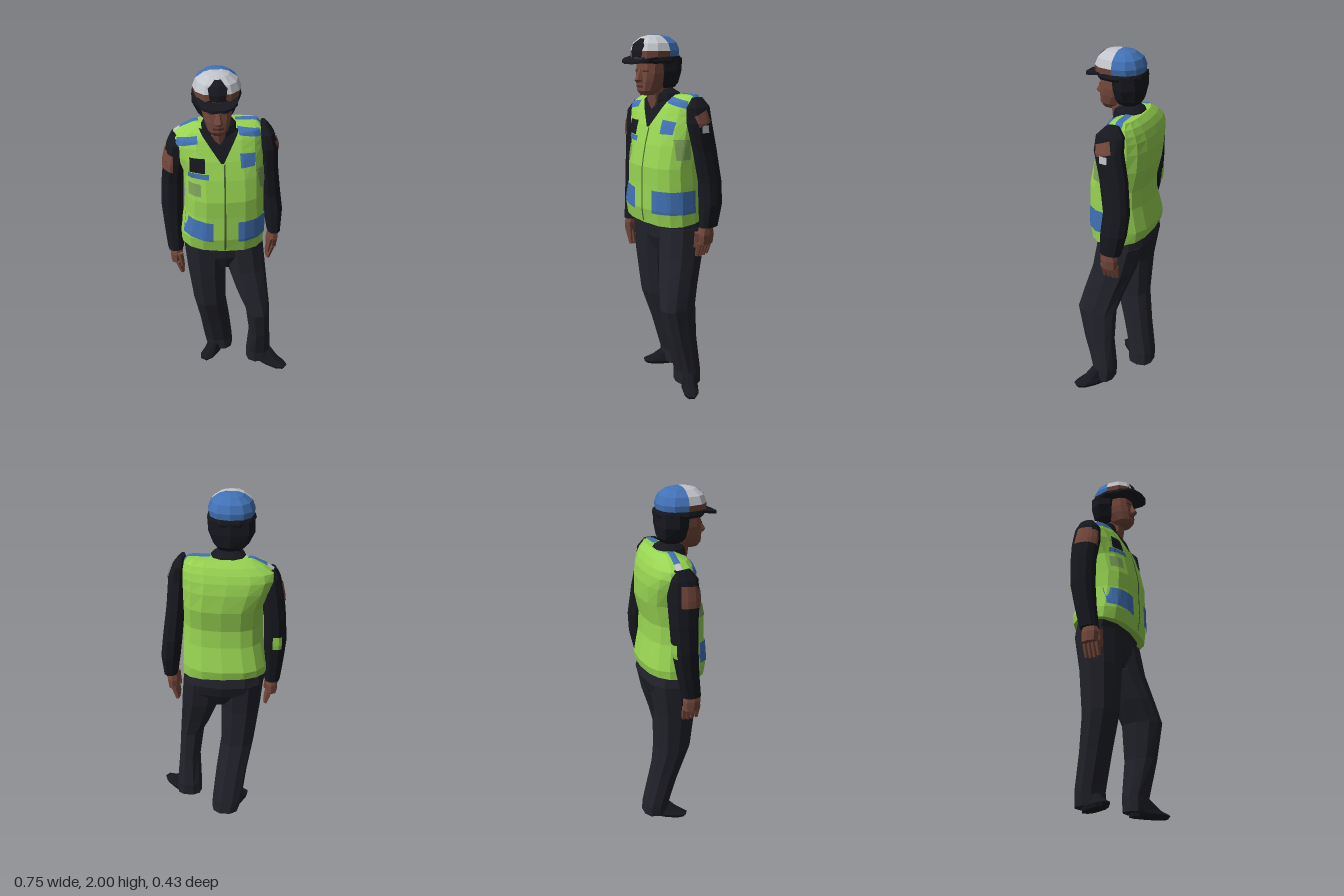
import * as THREE from 'three';

const material = (name, color) => Object.assign(new THREE.MeshStandardMaterial({ color }), { name });
const M = {
  lime: material('lime vest', 0x98d452),
  blue: material('blue', 0x4272b6),
  jacket: material('black jacket', 0x17181f),
  trousers: material('charcoal trousers', 0x22232b),
  skin: material('brown skin', 0x74483c),
  lips: material('dark brown', 0x4a2b25),
  white: material('pale grey', 0xc2c5cb),
  olive: material('dull green', 0x7da259),
  seam: material('dark green', 0x47632f),
};

function geometryFrom(points) {
  const g = new THREE.BufferGeometry().setFromPoints(points);
  g.computeVertexNormals();
  return g;
}

// Closed faceted body from horizontal slices [y, xMin, xMax, zMin, zMax]
function loft(slices, sides = 12, power = 2.4) {
  const rings = [...slices].sort((a, b) => a[0] - b[0]).map(([y, x0, x1, z0, z1]) => {
    const bend = (v) => Math.sign(v) * Math.abs(v) ** (2 / power);
    return Array.from({ length: sides }, (_, i) => {
      const a = (i / sides) * Math.PI * 2;
      return new THREE.Vector3(
        (x0 + x1) / 2 + bend(Math.cos(a)) * (x1 - x0) / 2, y,
        (z0 + z1) / 2 + bend(Math.sin(a)) * (z1 - z0) / 2);
    });
  });
  const middle = (ring) => ring.reduce((s, p) => s.add(p), new THREE.Vector3()).divideScalar(sides);
  const last = rings[rings.length - 1];
  const bottom = middle(rings[0]), top = middle(last), pts = [];
  for (let i = 0; i < sides; i++) {
    const j = (i + 1) % sides;
    pts.push(bottom, rings[0][i], rings[0][j], top, last[j], last[i]);
    for (let r = 0; r + 1 < rings.length; r++) {
      const lo = rings[r], hi = rings[r + 1];
      pts.push(lo[i], hi[i], lo[j], hi[i], hi[j], lo[j]);
    }
  }
  return geometryFrom(pts);
}

// Raises vertices by a rule of their position
function raise(geometry, rule) {
  const p = geometry.attributes.position;
  for (let i = 0; i < p.count; i++) p.setY(i, p.getY(i) + rule(p.getX(i), p.getY(i), p.getZ(i)));
  geometry.computeVertexNormals();
  return geometry;
}

// Assigns a material index to each triangle from its centre
function paint(geometry, rule) {
  const p = geometry.attributes.position;
  for (let i = 0; i < p.count; i += 3) {
    const c = new THREE.Vector3();
    for (let k = 0; k < 3; k++) c.add(new THREE.Vector3().fromBufferAttribute(p, i + k));
    geometry.addGroup(i, 3, rule(c.divideScalar(3)));
  }
  return geometry;
}

// Thin plate laid onto a mesh; corners run around the plate as [h, v] pairs:
// z views use (x, y), x views use (z, y) and the y view uses (x, z)
function drapeGeometry(target, axis, sign, corners, n = 6, lift = 0.006) {
  const place = (h, v, d) => axis === 'z' ? new THREE.Vector3(h, v, d)
    : axis === 'x' ? new THREE.Vector3(d, v, h) : new THREE.Vector3(h, d, v);
  const ray = new THREE.Raycaster();
  const mix = THREE.MathUtils.lerp;
  const [a, b, c, d] = corners;
  let depth = 0;
  const at = (u, v) => {
    const h = mix(mix(a[0], b[0], u), mix(d[0], c[0], u), v);
    const w = mix(mix(a[1], b[1], u), mix(d[1], c[1], u), v);
    ray.set(place(h, w, sign * 4), place(0, 0, -sign));
    const hit = ray.intersectObject(target, false)[0];
    if (hit) depth = hit.point[axis] + sign * lift;
    return place(h, w, depth);
  };
  at(0.5, 0.5);
  const grid = Array.from({ length: n + 1 }, (_, r) =>
    Array.from({ length: n + 1 }, (_, q) => at(q / n, r / n)));
  const flip = axis === 'z' ? sign < 0 : sign > 0;
  const pts = [];
  for (let r = 0; r < n; r++) for (let q = 0; q < n; q++) {
    const A = grid[r][q], B = grid[r][q + 1], C = grid[r + 1][q + 1], D = grid[r + 1][q];
    pts.push(...(flip ? [A, C, B, A, D, C] : [A, B, C, A, C, D]));
  }
  return geometryFrom(pts);
}
const rect = (h0, h1, v0, v1) => [[h0, v0], [h1, v0], [h1, v1], [h0, v1]];

export function createModel() {
  const model = new THREE.Group();
  model.name = 'uniformedOfficer';
  const add = (name, geometry, mat) => {
    const mesh = new THREE.Mesh(geometry, mat);
    mesh.name = name;
    model.add(mesh);
    return mesh;
  };
  const drape = (name, target, axis, sign, corners, mat, n) =>
    add(name, drapeGeometry(target, axis, sign, corners, n), mat);

  // Trousers, with the left knee forward and the right leg behind
  add('pelvis', loft([[1.02, -.25, .2, -.19, .11], [.95, -.255, .205, -.2, .09],
    [.88, -.245, .212, -.175, .085], [.79, -.17, .15, -.12, .05]]), M.trousers);
  add('rightLeg', loft([[.95, -.253, 0, -.18, .085], [.75, -.235, -.01, -.15, .08],
    [.5, -.205, -.01, -.14, .06], [.3, -.17, .015, -.17, 0],
    [.1, -.145, .035, -.205, -.05], [.02, -.13, .04, -.21, -.05]], 10), M.trousers);
  add('leftLeg', loft([[.95, -.03, .206, -.18, .085], [.78, -.005, .223, -.14, .11],
    [.62, .05, .238, -.085, .155], [.5, .105, .25, -.05, .185], [.3, .13, .26, -.045, .14],
    [.1, .12, .275, -.06, .085], [.02, .12, .28, -.055, .08]], 10), M.trousers);

  // Shoes, toes turned outward
  for (const [name, x, z, turn, toe] of [['leftShoe', .247, .04, .9, .155], ['rightShoe', -.07, -.105, -.6, .17]]) {
    const shoe = loft([[0, -.043, .043, -.09, toe - .015], [.02, -.049, .049, -.09, toe],
      [.045, -.042, .042, -.085, toe - .06], [.1, -.037, .037, -.08, .03]], 10);
    add(name, shoe.rotateY(turn).translate(x, 0, z), M.jacket);
  }

  // Vest, with a hem that rises toward the back
  const vestBody = loft([[.975, -.27, .21, -.2, .14], [1.06, -.27, .21, -.21, .155],
    [1.2, -.24, .205, -.18, .15], [1.3, -.235, .2, -.175, .15], [1.42, -.24, .2, -.2, .125],
    [1.52, -.28, .2, -.2, .095], [1.58, -.3, .2, -.19, .07], [1.62, -.295, .2, -.175, .052],
    [1.655, -.245, .19, -.155, .03], [1.685, -.18, .165, -.125, -.03]], 16, 2.6);
  const vest = add('vest', raise(vestBody, (x, y, z) => y < 1 ? (.14 - z) * .1 - x * .05 : 0), M.lime);
  drape('collarOpening', vest, 'z', 1, [[-.04, 1.515], [-.025, 1.515], [.06, 1.67], [-.15, 1.67]], M.jacket, 8);
  drape('zipper', vest, 'z', 1, rect(-.027, -.018, .99, 1.51), M.seam, 12);
  drape('rightPocket', vest, 'z', 1, [[-.25, 1.08], [-.088, 1.05], [-.088, 1.17], [-.235, 1.19]], M.blue, 8);
  drape('leftPocket', vest, 'z', 1, rect(.05, .195, 1.045, 1.175), M.blue, 8);
  drape('leftPocketSide', vest, 'x', 1, rect(-.03, .11, 1.045, 1.175), M.blue, 8);
  drape('sidePanel', vest, 'x', 1, rect(0, .08, 1.35, 1.46), M.olive);
  drape('chestPanel', vest, 'z', 1, rect(-.215, -.15, 1.33, 1.4), M.olive);
  drape('radio', vest, 'z', 1, rect(-.205, -.125, 1.462, 1.54), M.jacket);
  drape('radioStrip', vest, 'z', 1, rect(-.215, -.105, 1.43, 1.458), M.blue);
  drape('chestBadge', vest, 'z', 1, [[.065, 1.485], [.14, 1.485], [.145, 1.55], [.06, 1.56]], M.blue);

  // Reflective bands over the shoulders
  drape('rightFrontBand', vest, 'z', 1, [[-.28, 1.585], [-.16, 1.61], [-.16, 1.645], [-.265, 1.628]], M.blue);
  drape('leftFrontBand', vest, 'z', 1, [[.06, 1.645], [.18, 1.62], [.168, 1.66], [.05, 1.677]], M.blue);
  drape('rightBackBand', vest, 'y', 1, rect(-.25, -.15, -.09, -.055), M.blue);
  drape('rightBandEnd', vest, 'y', 1, rect(-.285, -.25, -.09, -.055), M.white);
  drape('leftBackBand', vest, 'y', 1, rect(.045, .183, -.09, -.05), M.blue);

  // Sleeves and their patches
  const leftArm = add('leftSleeve', loft([[1.68, .18, .208, -.085, -.015], [1.63, .172, .248, -.12, .035],
    [1.55, .172, .275, -.12, .04], [1.4, .185, .285, -.15, .005], [1.22, .2, .308, -.17, -.025],
    [1.1, .215, .324, -.16, -.015], [.975, .235, .315, -.13, -.01]], 10), M.jacket);
  const rightArm = add('rightSleeve', loft([[1.63, -.295, -.23, -.1, -.01], [1.58, -.322, -.22, -.125, .03],
    [1.48, -.345, -.22, -.135, .035], [1.35, -.36, -.24, -.13, .02], [1.2, -.37, -.245, -.12, .02],
    [1.05, -.358, -.25, -.09, .03], [.92, -.345, -.255, -.06, .045]], 10), M.jacket);
  drape('leftShoulderPatch', leftArm, 'x', 1, [[-.075, 1.555], [.01, 1.53], [.022, 1.59], [-.06, 1.62]], M.skin);
  drape('leftSmallPatch', leftArm, 'x', 1, rect(-.055, -.01, 1.5, 1.54), M.white);
  drape('rightShoulderPatch', rightArm, 'x', -1, [[-.09, 1.45], [.01, 1.44], [.01, 1.55], [-.08, 1.56]], M.skin);
  drape('rightPatchFront', rightArm, 'z', 1, [[-.343, 1.44], [-.295, 1.43], [-.29, 1.53], [-.33, 1.54]], M.skin);
  drape('elbowPatch', rightArm, 'z', -1, rect(-.345, -.295, 1.17, 1.25), M.lime);

  // Hands: palm, four fingers and a thumb, fingers curling inward
  for (const [side, x, y, z, s] of [['left', .268, .9, -.055, 1], ['right', -.295, .86, 0, -1]]) {
    add(side + 'Palm', loft([[y + .09, x - .028, x + .03, z - .04, z + .035],
      [y + .03, x - .038, x + .034, z - .055, z + .05],
      [y - .025, x - .036, x + .026, z - .052, z + .045]], 8), M.skin);
    for (let i = 0; i < 4; i++) {
      const finger = new THREE.CylinderGeometry(.019, .012, .1 - Math.abs(i - 1.5) * .012, 5);
      finger.rotateZ(-s * .25).translate(x - s * .018, y - .055, z - .037 + i * .025);
      add(side + 'Finger', finger.toNonIndexed(), M.skin).geometry.computeVertexNormals();
    }
    const thumb = new THREE.CylinderGeometry(.018, .012, .09, 5).rotateZ(-s * .15);
    add(side + 'Thumb', thumb.translate(x - s * .025, y, z + .045).toNonIndexed(), M.skin)
      .geometry.computeVertexNormals();
  }

  // Collar, neck, hair and head
  add('collar', loft([[1.6, -.16, .07, -.13, .04], [1.66, -.145, .06, -.125, .05],
    [1.69, -.135, .045, -.115, .045], [1.715, -.105, 0, -.085, .03]], 10), M.jacket);
  add('neck', loft([[1.605, -.06, -.03, 0, .064], [1.65, -.095, -.005, -.04, .07],
    [1.74, -.1, 0, -.05, .08]], 8), M.skin);
  add('hair', loft([[1.72, -.125, .015, -.085, .025], [1.745, -.15, .035, -.105, .045],
    [1.81, -.182, .06, -.115, .055], [1.88, -.18, .065, -.115, .06]], 8), M.jacket);
  const head = add('head', loft([[1.685, -.09, -.02, .03, .12], [1.71, -.11, 0, 0, .138],
    [1.76, -.128, .018, -.05, .14], [1.8, -.135, .025, -.06, .136],
    [1.88, -.135, .025, -.08, .13]], 12), M.skin);
  add('nose', loft([[1.755, -.077, -.033, .11, .155], [1.768, -.075, -.035, .11, .168],
    [1.825, -.063, -.047, .11, .137]], 6), M.skin);
  drape('mouth', head, 'z', 1, rect(-.083, -.027, 1.728, 1.738), M.lips, 4);
  for (const x of [-.092, -.018])
    drape('eye', head, 'z', 1, rect(x - .016, x + .016, 1.81, 1.82), M.lips, 3);

  // Peaked cap: dark rim, pale front with brown band, blue back
  add('capRim', loft([[1.855, -.175, .06, -.115, .145], [1.87, -.185, .07, -.12, .155],
    [1.89, -.18, .065, -.115, .152]], 10), M.jacket);
  const crown = loft([[1.88, -.172, .06, -.105, .155], [1.92, -.178, .066, -.108, .158],
    [1.96, -.162, .05, -.092, .142], [1.99, -.12, .008, -.055, .105],
    [2, -.085, -.025, -.01, .06]], 12);
  const cap = add('capCrown', paint(crown, (c) => c.z < .025 ? 0 : c.y < 1.918 ? 2 : 1),
    [M.blue, M.white, M.skin]);
  drape('capBadge', cap, 'z', 1, [[-.095, 1.885], [-.02, 1.885], [-.01, 1.95], [-.105, 1.95]], M.jacket);
  drape('capBadgeTip', cap, 'z', 1, [[-.105, 1.95], [-.01, 1.95], [-.04, 1.984], [-.07, 1.984]], M.jacket);

  // Visor slopes down toward its front edge
  const visor = loft([[1.853, -.165, .048, -.02, .218], [1.866, -.165, .048, -.02, .218]], 14);
  add('visor', raise(visor, (x, y, z) => Math.min(.025, (.218 - z) * .25)), M.jacket);

  return model;
}
